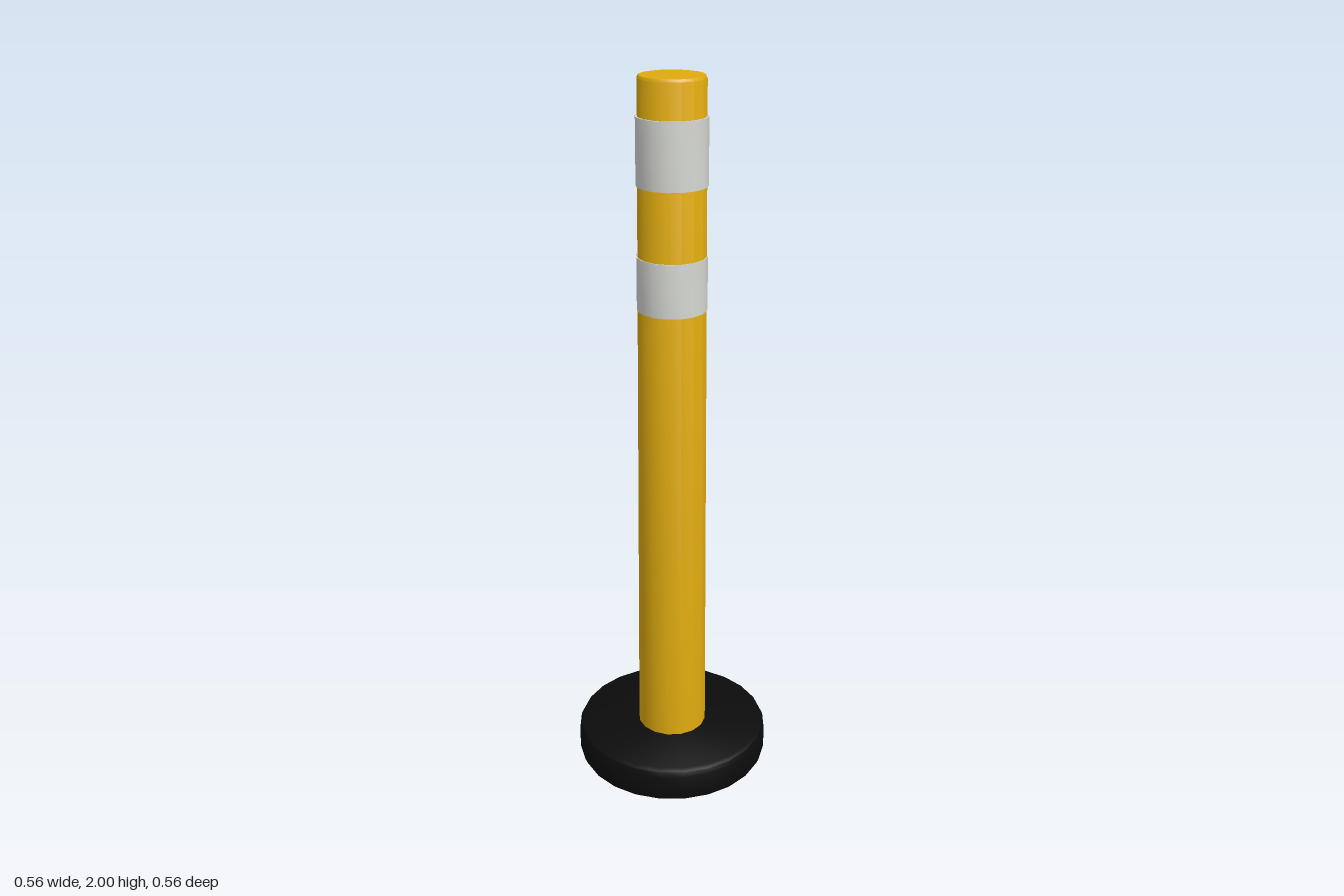
import * as THREE from 'three';
import { toCreasedNormals } from 'three/addons/utils/BufferGeometryUtils.js';

const yellow = new THREE.MeshStandardMaterial({ name: 'yellowPlastic', color: 0xe0ab10 });
const white = new THREE.MeshStandardMaterial({ name: 'reflectiveWhite', color: 0xd6d8d3 });
const black = new THREE.MeshStandardMaterial({ name: 'blackRubber', color: 0x0c0c0c });

// Turned part from [radius, height] pairs listed bottom to top
function turned(name, profile, sides, material) {
  const points = profile.map(([r, y]) => new THREE.Vector2(r, y));
  const geometry = toCreasedNormals(new THREE.LatheGeometry(points, sides), Math.PI / 6);
  const mesh = new THREE.Mesh(geometry, material);
  mesh.name = name;
  return mesh;
}

export function createModel() {
  const group = new THREE.Group();
  group.name = 'delineatorPost';

  // Round rubber foot with softened edges
  group.add(turned('base', [
    [0, 0], [0.262, 0], [0.273, 0.006], [0.279, 0.02],
    [0.279, 0.085], [0.273, 0.099], [0.262, 0.105], [0, 0.105],
  ], 24, black));

  // Slightly tapered post with a small bevel at the top
  group.add(turned('post', [
    [0, 0.1], [0.1, 0.1], [0.089, 1.993], [0.085, 2], [0, 2],
  ], 16, yellow));

  // Reflective bands, thin closed sleeves around the post
  const bands = [
    ['lowerBand', 1.395, 1.54, 0.0945],
    ['upperBand', 1.725, 1.9, 0.0945],
  ];
  for (const [name, y0, y1, r] of bands) {
    group.add(turned(name, [[0.086, y0], [r, y0], [r, y1], [0.086, y1]], 16, white));
  }
  return group;
}
